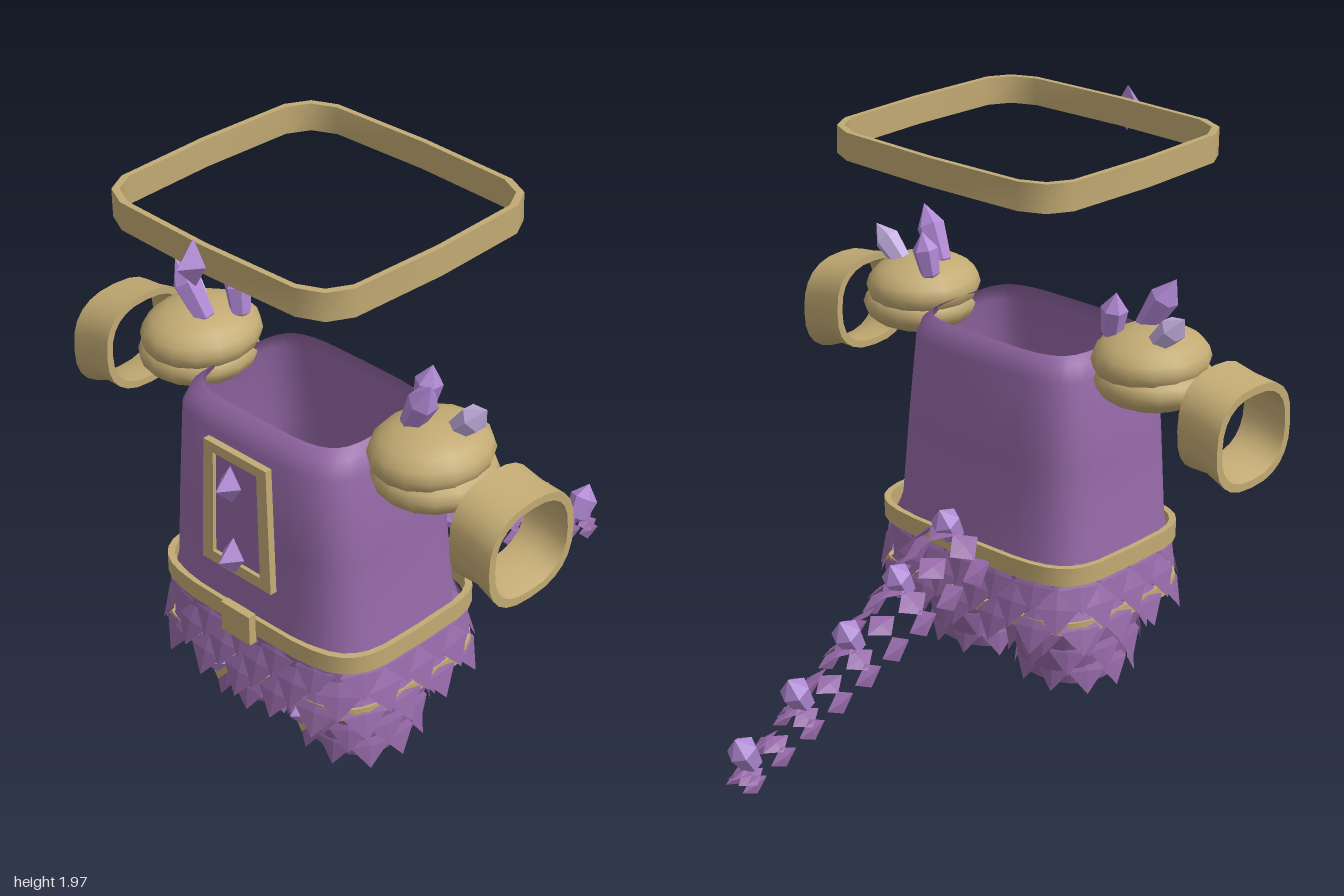
import * as THREE from 'three';
import { toCreasedNormals } from 'three/addons/utils/BufferGeometryUtils.js';

const mat = (name, color, side = THREE.FrontSide) => {
  const m = new THREE.MeshStandardMaterial({ color, side });
  m.name = name;
  return m;
};
const purple = mat('purple hide', 0x9468a6, THREE.DoubleSide);
const gold = mat('dull gold', 0xc2aa73, THREE.DoubleSide);
const violet = mat('violet crystal', 0xb088d4);
const lavender = mat('pale crystal', 0xc4aee0);

function add(parent, name, geo, material, x = 0, y = 0, z = 0) {
  const m = new THREE.Mesh(geo, material);
  m.name = name;
  m.position.set(x, y, z);
  parent.add(m);
  return m;
}
function group(parent, name) {
  const g = new THREE.Group();
  g.name = name;
  parent.add(g);
  return g;
}

// Rounded-rectangle outline point at angle t; n sets how square it is
const power = (v, n) => Math.sign(v) * Math.pow(Math.abs(v), 2 / n);
const outline = (t, rx, rz, n) => [rx * power(Math.cos(t), n), rz * power(Math.sin(t), n)];

// Skin through rings [y, rx, rz, centreZ, centreX]
function loft(rings, n = 4, seg = 32, crease = 0.65) {
  const pos = [], idx = [];
  rings.forEach(([y, rx, rz, cz = 0, cx = 0]) => {
    for (let i = 0; i < seg; i++) {
      const [x, z] = outline((i / seg) * Math.PI * 2, rx, rz, n);
      pos.push(cx + x, y, cz + z);
    }
  });
  for (let j = 0; j < rings.length - 1; j++)
    for (let i = 0; i < seg; i++) {
      const a = j * seg + i, b = j * seg + (i + 1) % seg;
      idx.push(a, a + seg, b, b, a + seg, b + seg);
    }
  const g = new THREE.BufferGeometry();
  g.setAttribute('position', new THREE.Float32BufferAttribute(pos, 3));
  g.setIndex(idx);
  return toCreasedNormals(g, crease);
}
// Closed hoop with wall thickness t
const hoop = (y0, y1, rx, rz, cz, t, n, seg) => loft([
  [y0, rx, rz, cz], [y1, rx, rz, cz], [y1, rx - t, rz - t, cz],
  [y0, rx - t, rz - t, cz], [y0, rx, rz, cz]], n, seg);

const flat = (g) => toCreasedNormals(g, 0.05);
const scaleGeo = flat(new THREE.OctahedronGeometry(1));
function addScale(parent, w, h, material = purple) {
  const s = add(parent, 'scale', scaleGeo, material);
  s.scale.set(w / 2, h / 2, 0.008);
  return s;
}
// Ring of overlapping diamond scales around an outline
function scaleRing(parent, count, offset, y, rx, rz, cz, cx, n, w, h, tilt) {
  const pts = [];
  for (let i = 0; i < 32; i++) {
    const [x, z] = outline((i / 32) * Math.PI * 2, rx, rz, n);
    pts.push(new THREE.Vector3(x, 0, z));
  }
  const curve = new THREE.CatmullRomCurve3(pts, true);
  for (let i = 0; i < count; i++) {
    const u = ((i + offset) / count + 0.25) % 1;
    const p = curve.getPointAt(u), t = curve.getTangentAt(u);
    const s = addScale(parent, w, h);
    s.position.set(cx + p.x, y, cz + p.z);
    s.rotation.set(-tilt, Math.atan2(t.z, -t.x), 0, 'YXZ');
  }
}

// Four-sided stud pointing forward
const studGeo = flat(new THREE.ConeGeometry(1, 1, 4).rotateX(Math.PI / 2).translate(0, 0, 0.5));
function stud(parent, x, y, z, rx, ry, depth) {
  add(parent, 'stud', studGeo, violet, x, y, z).scale.set(rx, ry, depth);
}
// Six-sided crystal from base to tip
function crystal(parent, base, tip, r, material = violet) {
  const a = new THREE.Vector3(...base), d = new THREE.Vector3(...tip).sub(a), L = d.length();
  const profile = [[0, 0], [r * 0.75, 0.02], [r, L * 0.65], [0, L]].map((p) => new THREE.Vector2(...p));
  const m = add(parent, 'crystal', flat(new THREE.LatheGeometry(profile, 6)), material, ...base);
  m.quaternion.setFromUnitVectors(new THREE.Vector3(0, 1, 0), d.normalize());
}

export function createModel() {
  const root = new THREE.Group();
  root.name = 'armour';

  // Floating crown hoop
  const crown = group(root, 'crown');
  add(crown, 'crownHoop', hoop(1.87, 1.965, 0.515, 0.475, 0.395, 0.02, 6, 16), gold);
  stud(crown, 0, 1.92, 0.9, 0.05, 0.08, 0.07);

  // Open torso and hips
  add(root, 'torso', loft([
    [0.3, 0.41, 0.3, 0.44], [0.4, 0.445, 0.325, 0.44], [0.52, 0.445, 0.33, 0.44],
    [0.6, 0.425, 0.313, 0.444], [0.9, 0.405, 0.3, 0.447], [1.2, 0.38, 0.287, 0.45],
    [1.255, 0.36, 0.265, 0.445], [1.28, 0.33, 0.235, 0.44]], 4.5), purple);

  // Belt, buckle and lower band
  add(root, 'belt', hoop(0.525, 0.59, 0.475, 0.35, 0.425, 0.02, 4.5, 32), gold);
  add(root, 'buckle', new THREE.BoxGeometry(0.13, 0.11, 0.03), gold, 0, 0.555, 0.787);
  add(root, 'lowerBand', hoop(0.34, 0.385, 0.475, 0.35, 0.43, 0.02, 4.5, 32), gold);

  // Chest frame with two studs
  const chest = group(root, 'chestPanel');
  const poly = (p, C) => new C(p.map((q) => new THREE.Vector2(...q)));
  const frame = poly([[-0.157, 0.74], [0.157, 0.74], [0.14, 1.19], [-0.14, 1.19]], THREE.Shape);
  const inner = [[-0.108, 0.78], [0.108, 0.78], [0.098, 1.155], [-0.098, 1.155]];
  frame.holes.push(poly(inner, THREE.Path));
  const extrude = (s, depth) => new THREE.ExtrudeGeometry(s, { depth, bevelEnabled: false });
  add(chest, 'frame', extrude(frame, 0.025), gold, 0, 0, 0.782).rotation.x = -0.025;
  add(chest, 'panel', extrude(poly(inner, THREE.Shape), 0.009), purple, 0, 0, 0.784).rotation.x = -0.025;
  for (const y of [0.82, 1.09]) stud(chest, 0, y, 0.795, 0.047, 0.068, 0.065);

  // Hip scales
  const hips = group(root, 'hipScales');
  [[0.5, 0.455, 0.34], [0.43, 0.468, 0.355], [0.355, 0.475, 0.36]].forEach(([y, rx, rz], i) =>
    scaleRing(hips, 18, i % 2 ? 0.5 : 0, y, rx, rz, 0.43, 0, 4, 0.145, 0.18, 0.35));

  for (const s of [1, -1]) {
    const side = s > 0 ? 'left' : 'right';

    // Leg tube with a narrow opening at the foot
    const leg = group(root, side + 'Leg');
    add(leg, 'legTube', loft([
      [0.38, 0.212, 0.29, 0.44, s * 0.212], [0.26, 0.2, 0.235, 0.44, s * 0.205],
      [0.06, 0.165, 0.175, 0.44, s * 0.2], [0.11, 0.09, 0.09, 0.43, s * 0.2]], 2.5), purple);
    [[0.28, 0.205, 0.25], [0.2, 0.195, 0.215], [0.115, 0.18, 0.185]].forEach(([y, rx, rz], i) =>
      scaleRing(leg, 10, i % 2 ? 0 : 0.5, y, rx, rz, 0.445, s * 0.205, 2.5, 0.13, 0.17, 0.2));
    const plate = addScale(leg, 0.14, 0.16, gold);
    plate.name = 'goldScale';
    plate.position.set(s * 0.2, 0.25, 0.7);
    plate.rotation.x = -0.15;
    stud(leg, s * 0.2, 0.26, 0.71, 0.05, 0.06, 0.05);

    // Layered shoulder pad with crystals
    const pad = group(root, side + 'Shoulder');
    const dome = new THREE.SphereGeometry(1, 16, 10);
    add(pad, 'upperPad', dome, gold, s * 0.515, 1.285, 0.435).scale.set(0.19, 0.105, 0.21);
    add(pad, 'lowerPad', dome, gold, s * 0.53, 1.215, 0.435).scale.set(0.195, 0.095, 0.205);
    crystal(pad, [s * 0.45, 1.35, 0.465], [s * 0.565, 1.55, 0.49], 0.05);
    crystal(pad, [s * 0.405, 1.34, 0.36], [s * 0.435, 1.51, 0.345], 0.046);
    crystal(pad, [s * 0.555, 1.34, 0.39], [s * 0.69, 1.475, 0.38], 0.046, lavender);

    // Floating bracer: a flared tube lying along x
    const cuff = loft([
      [0.77, 0.172, 0.185, 0.445, -1.152], [0.85, 0.163, 0.18, 0.445, -1.143],
      [0.935, 0.175, 0.19, 0.445, -1.12], [0.935, 0.148, 0.163, 0.445, -1.12],
      [0.85, 0.138, 0.155, 0.445, -1.143], [0.77, 0.147, 0.16, 0.445, -1.152],
      [0.77, 0.172, 0.185, 0.445, -1.152]], 2.5, 24);
    cuff.rotateZ(-Math.PI / 2);
    if (s > 0) cuff.scale(1, 1, 1);
    else cuff.rotateY(Math.PI).translate(0, 0, 0.89);
    add(root, side + 'Bracer', cuff, gold);
  }

  // Tail: arches of scales shrinking backwards, with a crystal on every other arch
  const tail = group(root, 'tail');
  for (let k = 0; k < 9; k++) {
    const f = k / 8, R = 0.135 - 0.095 * f;
    const row = group(tail, 'tailRow');
    row.position.set(0, 0.51 - 0.445 * f, 0.02 - 0.94 * f);
    row.rotation.x = -0.2;
    const count = k % 2 ? 4 : 5;
    for (let i = 0; i < count; i++) {
      const arm = group(row, 'scaleArm');
      arm.rotation.z = (i / (count - 1) - 0.5) * 2.9;
      const sc = addScale(arm, 0.115 - 0.045 * f, 0.14 - 0.03 * f);
      sc.position.y = R;
      sc.rotation.x = -Math.PI / 2;
    }
    if (k % 2 === 0) {
      const y = row.position.y + R - 0.05 * (1 - f), z = row.position.z;
      crystal(tail, [0, y, z + 0.035], [0, y + 0.13, z - 0.045], 0.052);
    }
  }
  return root;
}
